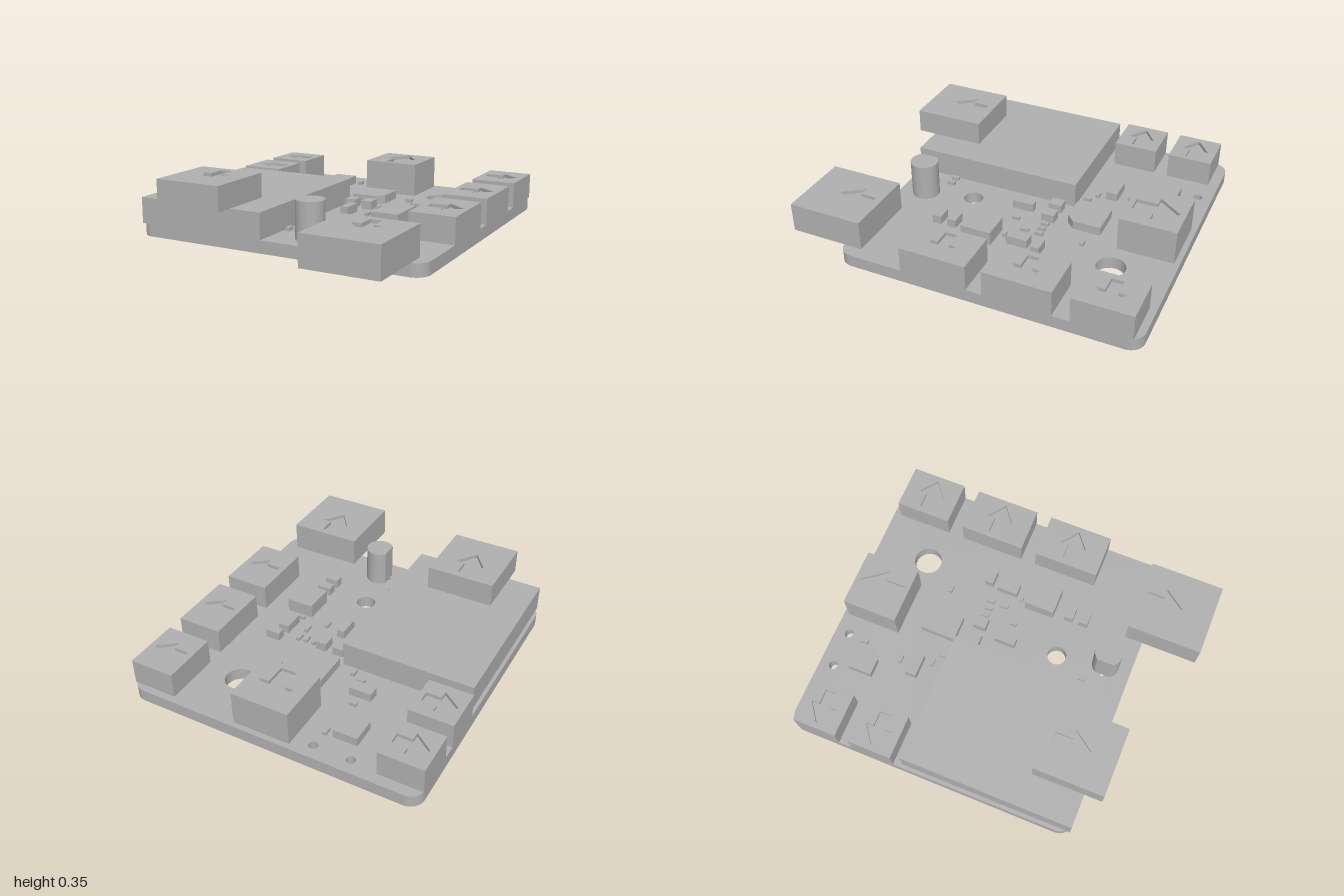
import * as THREE from 'three';

const grey = new THREE.MeshStandardMaterial({ color: 0xb0b0b0 });
grey.name = 'plain grey';

// Plan outlines are given as [x, z] points and extruded upwards from y0 to y1.
const toVec = ([x, z]) => new THREE.Vector2(x, -z);
const outline = (pts) => new THREE.Shape(pts.map(toVec));
const rect = (x0, x1, z0, z1) => outline([[x0, z1], [x1, z1], [x1, z0], [x0, z0]]);

function slab(shape, y0, y1, holes = []) {
  shape.holes = holes;
  const geo = new THREE.ExtrudeGeometry(shape, { depth: y1 - y0, bevelEnabled: false, curveSegments: 16 });
  geo.rotateX(-Math.PI / 2);
  geo.translate(0, y0, 0);
  return geo;
}

function circle(x, z, r) {
  return new THREE.Path().absarc(x, -z, r, 0, Math.PI * 2, true);
}

// Arrow path: tip position, unit direction, full length, head length, half widths
function arrow(tip, dir, length, head, half, shaft) {
  const [dx, dz] = dir;
  const at = (back, side) => toVec([tip[0] - dx * back - dz * side, tip[1] - dz * back + dx * side]);
  return new THREE.Path([
    at(0, 0), at(head, half), at(head, shaft), at(length, shaft),
    at(length, -shaft), at(head, -shaft), at(head, -half),
  ]);
}

function roundedRect(x0, x1, z0, z1, r) {
  const s = new THREE.Shape();
  s.absarc(x1 - r, -z0 - r, r, 0, Math.PI / 2);
  s.absarc(x0 + r, -z0 - r, r, Math.PI / 2, Math.PI);
  s.absarc(x0 + r, -z1 + r, r, Math.PI, Math.PI * 1.5);
  s.absarc(x1 - r, -z1 + r, r, Math.PI * 1.5, Math.PI * 2);
  return s;
}

export function createModel() {
  const model = new THREE.Group();
  model.name = 'circuitBoard';
  const add = (name, geo, parent = model) => {
    const mesh = new THREE.Mesh(geo, grey);
    mesh.name = name;
    parent.add(mesh);
    return mesh;
  };

  const TOP = 0.07;
  const ENGRAVE = 0.02;

  // Board with mounting holes, pin holes and an arrow cut into the underside
  const drill = () => {
    const list = [
      circle(-0.445, -0.92, 0.025), circle(-0.235, -0.92, 0.025),
      circle(0.365, -0.68, 0.08), circle(0.092, 0.25, 0.055),
      circle(0.09, 0.53, 0.018), circle(0.196, 0.53, 0.018),
    ];
    for (let i = 0; i < 9; i++) {
      for (const x of [-0.77, -0.13]) list.push(circle(x, 0.612 - i * 0.106, 0.018));
    }
    for (let i = 0; i < 4; i++) list.push(circle(0.392 + i * 0.106, 0.62, 0.018));
    return list;
  };
  const board = new THREE.Group();
  board.name = 'board';
  model.add(board);
  const boardShape = () => roundedRect(-0.845, 0.84, -1, 0.68, 0.08);
  const underArrow = arrow([0, -0.36], [0, -1], 0.38, 0.21, 0.14, 0.063);
  add('boardUnderside', slab(boardShape(), 0, ENGRAVE, [...drill(), underArrow]), board);
  add('boardTop', slab(boardShape(), ENGRAVE, TOP, drill()), board);

  // Connectors: block with an arrow engraved in the top
  function connector(name, [x0, x1, z0, z1], y0, y1, arrowPath) {
    const g = new THREE.Group();
    g.name = name;
    add(name + 'Body', slab(rect(x0, x1, z0, z1), y0, y1 - ENGRAVE), g);
    add(name + 'Lid', slab(rect(x0, x1, z0, z1), y1 - ENGRAVE, y1, [arrowPath]), g);
    model.add(g);
  }
  for (const [z0, z1] of [[-0.94, -0.69], [-0.61, -0.36]]) {
    connector('leftHandConnector', [-0.845, -0.595, z0, z1], TOP, 0.215,
      arrow([-0.815, (z0 + z1) / 2], [-1, 0], 0.19, 0.105, 0.078, 0.032));
  }
  for (const [z0, z1] of [[-0.96, -0.64], [-0.545, -0.17], [-0.08, 0.295]]) {
    connector('rightHandConnector', [0.585, 0.84, z0, z1], TOP, 0.215,
      arrow([0.81, (z0 + z1) / 2], [1, 0], 0.19, 0.1, 0.078, 0.032));
  }
  connector('backConnector', [-0.125, 0.205, -0.97, -0.655], TOP, 0.265,
    arrow([0.04, -0.94], [0, -1], 0.255, 0.137, 0.102, 0.046));
  connector('frontConnector', [0.35, 0.77, 0.575, 1], TOP, 0.238,
    arrow([0.56, 0.825], [0, 1], 0.21, 0.115, 0.085, 0.033));
  connector('raisedConnector', [-0.635, -0.245, 0.38, 0.78], 0.215, 0.352,
    arrow([-0.44, 0.635], [0, 1], 0.21, 0.115, 0.085, 0.033));

  // Large module
  add('module', slab(rect(-0.825, -0.065, -0.31, 0.68), TOP, 0.215));

  // Round post with one flat side
  const post = new THREE.Shape();
  const cut = Math.acos(-0.062 / 0.078);
  post.absarc(0.145, -0.53, 0.078, -cut, cut, false);
  add('post', slab(post, TOP, 0.28));

  // Chips with one cut corner
  for (const [x0, x1, z0, z1, c] of [[-0.43, -0.29, -0.825, -0.685, 0.04], [-0.055, 0.135, -0.535, -0.33, 0.047]]) {
    const pts = [[x0, z1], [x1 - c, z1], [x1, z1 - c], [x1, z0], [x0, z0]];
    add('chip', slab(outline(pts), TOP, 0.12));
  }

  // Small components: centre x, centre z, width, depth, top height
  const parts = [
    [0.379, 0.056, 0.158, 0.175, 0.15],
    [-0.275, -0.478, 0.13, 0.066, 0.12], [-0.002, -0.227, 0.064, 0.075, 0.12],
    [0.104, -0.227, 0.064, 0.075, 0.12], [0.395, -0.28, 0.085, 0.05, 0.12],
    [0.373, -0.161, 0.064, 0.122, 0.12], [0.061, -0.056, 0.045, 0.121, 0.12],
    [0.355, 0.233, 0.08, 0.053, 0.12], [0.355, 0.323, 0.08, 0.053, 0.12],
    [-0.247, -0.812, 0.022, 0.044, 0.09], [-0.268, -0.573, 0.043, 0.02, 0.09],
    [-0.22, -0.396, 0.043, 0.021, 0.09], [-0.156, -0.355, 0.022, 0.043, 0.09],
    [0.167, -0.227, 0.022, 0.043, 0.09], [0.215, -0.227, 0.022, 0.043, 0.09],
    [0.261, -0.23, 0.022, 0.047, 0.09], [0.261, -0.146, 0.022, 0.047, 0.09],
    [0.246, -0.477, 0.043, 0.02, 0.09], [0.178, -0.058, 0.022, 0.043, 0.09],
    [0.344, -0.066, 0.037, 0.017, 0.09], [-0.039, 0.434, 0.022, 0.043, 0.09],
    [0.013, 0.434, 0.022, 0.043, 0.09],
  ];
  for (const [x, z, w, d, top] of parts) {
    add('component', new THREE.BoxGeometry(w, top - TOP, d)).position.set(x, (top + TOP) / 2, z);
  }

  return model;
}
